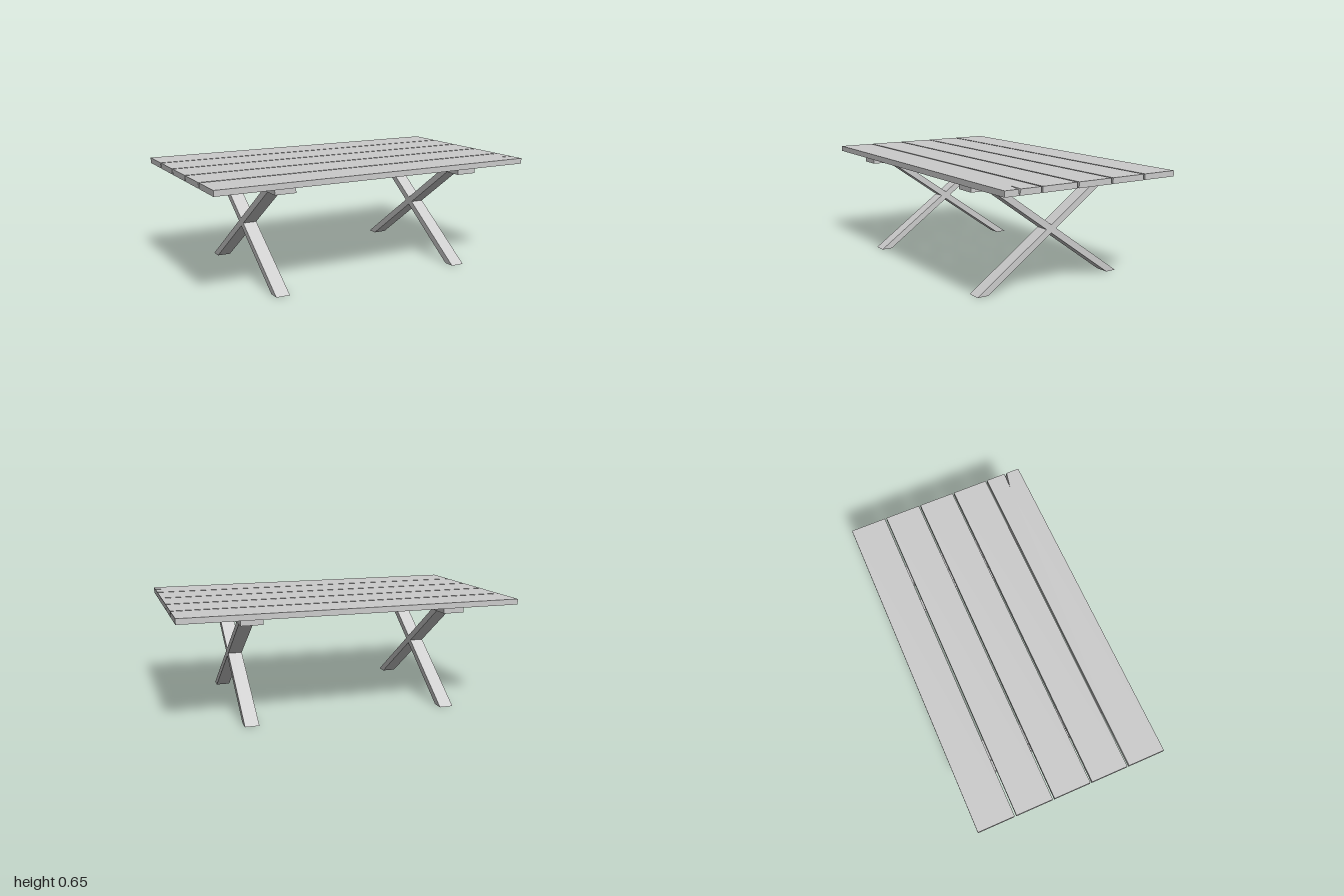
import * as THREE from 'three';

const material = new THREE.MeshStandardMaterial({ color: 0xcccccc, flatShading: true });
const TOP = 0.648, UNDER = 0.615, BATTEN = 0.582;

function add(parent, name, geometry, x = 0, y = 0, z = 0) {
  const mesh = new THREE.Mesh(geometry, material);
  mesh.name = name;
  mesh.position.set(x, y, z);
  parent.add(mesh);
  return mesh;
}

// Builds flat faces from convex corner loops (counter-clockwise from outside)
function facesGeometry(loops) {
  const positions = [];
  for (const loop of loops)
    for (let i = 1; i < loop.length - 1; i++)
      positions.push(...loop[0], ...loop[i], ...loop[i + 1]);
  const geometry = new THREE.BufferGeometry();
  geometry.setAttribute('position', new THREE.Float32BufferAttribute(positions, 3));
  geometry.computeVertexNormals();
  return geometry;
}

// Front plank with a tapering V-shaped crack in its left end
function crackedPlank(z0, z1) {
  const t0 = [-1, TOP, z1], t1 = [1, TOP, z1], t2 = [1, TOP, z0], t3 = [-1, TOP, z0];
  const b0 = [-1, UNDER, z1], b1 = [1, UNDER, z1], b2 = [1, UNDER, z0], b3 = [-1, UNDER, z0];
  const tip = [0.85, TOP, 0.452], back = [1, TOP, 0.468], front = [1, TOP, 0.483];
  const root = [1, UNDER, 0.477];
  return facesGeometry([
    [t0, t1, front, tip], [t0, tip, t3], [t3, tip, back, t2], // top
    [b1, root, front, t1], [root, b2, t2, back],              // cracked end
    [tip, front, root], [tip, root, back],                    // crack walls
    [b0, b1, t1, t0], [b2, b3, t3, t2], [b3, b0, t0, t3],     // sides and far end
    [b0, b3, b2, root, b1],                                   // underside
  ]);
}

// Slanted leg cut level with the floor and the batten
function legGeometry(side) {
  const outline = [[0.488, 0], [-0.345, BATTEN], [-0.412, BATTEN], [0.42, 0]];
  const shape = new THREE.Shape(outline.map(([z, y]) => new THREE.Vector2(z * side, y)));
  const geometry = new THREE.ExtrudeGeometry(shape, { depth: 0.082, bevelEnabled: false });
  return geometry.translate(0, 0, -0.041).rotateY(-Math.PI / 2);
}

export function createModel() {
  const table = new THREE.Group();
  table.name = 'picnicTable';

  // Table top: four plain planks and the cracked front one
  const width = 0.217, pitch = 0.2277;
  for (let i = -2; i < 2; i++)
    add(table, 'plank', new THREE.BoxGeometry(2, TOP - UNDER, width), 0, (TOP + UNDER) / 2, i * pitch);
  add(table, 'crackedPlank', crackedPlank(2 * pitch - width / 2, 2 * pitch + width / 2));

  // Thin raised strip under the front plank
  add(table, 'undersideStrip', new THREE.BoxGeometry(1.05, 0.004, 0.124), 0.425, UNDER - 0.002, 0.456);

  // Crossed leg frames with a batten on top
  for (const x of [-0.595, 0.595]) {
    const frame = new THREE.Group();
    frame.name = x > 0 ? 'leftFrame' : 'rightFrame';
    frame.position.x = x;
    add(frame, 'batten', new THREE.BoxGeometry(0.124, UNDER - BATTEN, 1.078), 0, (UNDER + BATTEN) / 2, 0);
    for (const side of [1, -1]) add(frame, 'leg', legGeometry(side));
    table.add(frame);
  }
  return table;
}
